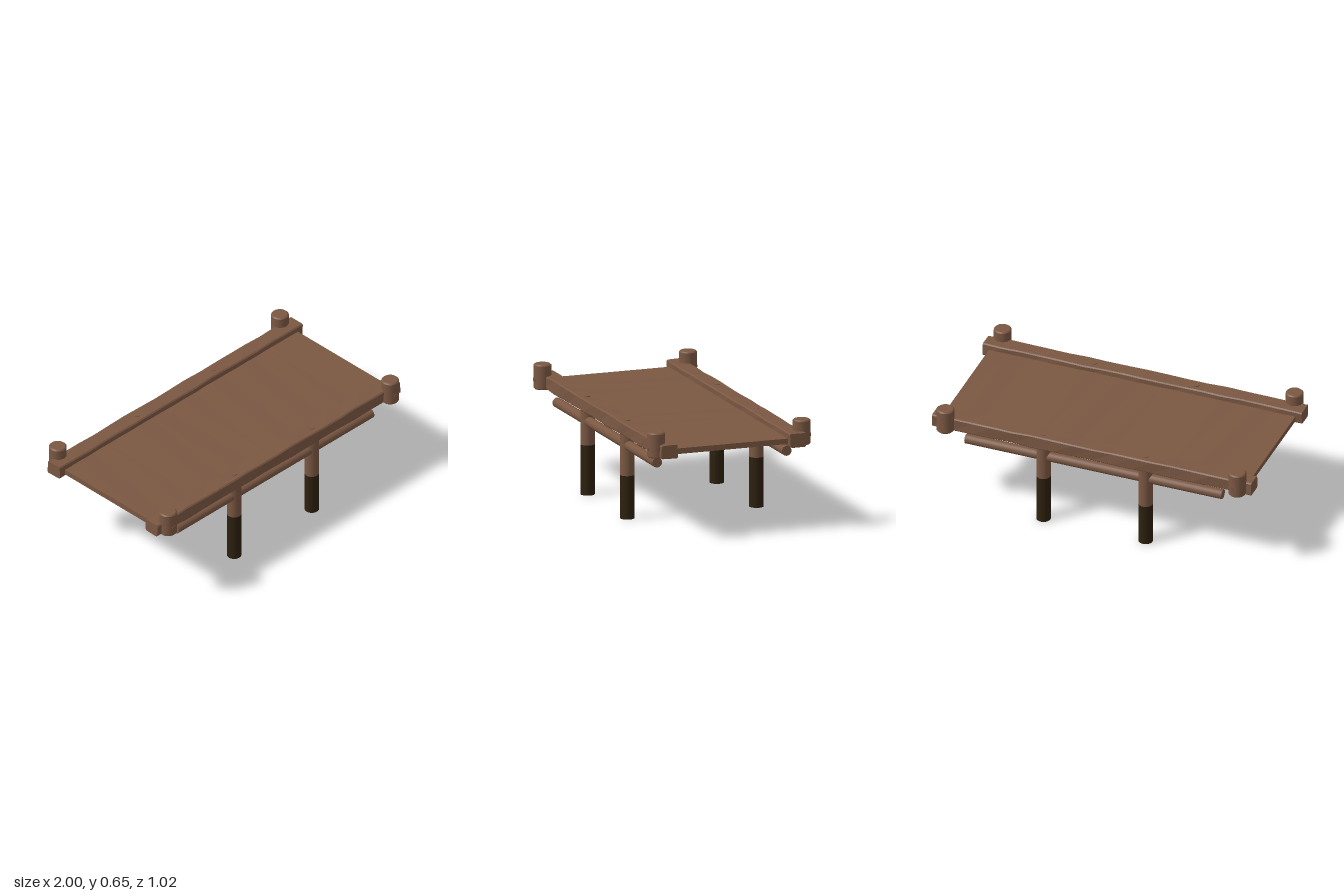
import * as THREE from 'three';

const wood = new THREE.MeshStandardMaterial({ color: 0x7a5742 });
wood.name = 'brown wood';
const tar = new THREE.MeshStandardMaterial({ color: 0x2d200e });
tar.name = 'dark tarred wood';

function add(group, name, geometry, material, x, y, z) {
  const mesh = new THREE.Mesh(geometry, material);
  mesh.name = name;
  mesh.position.set(x, y, z);
  group.add(mesh);
  return mesh;
}

// Upright pole between two heights
function pole(radius, bottom, top) {
  return new THREE.CylinderGeometry(radius, radius, top - bottom, 24)
    .translate(0, (top + bottom) / 2, 0);
}

// Long chamfered beam along x, with slightly uneven hewn edges
function beam(length, height, depth, chamfer, wobble, seed) {
  const a = depth / 2, b = height / 2, c = chamfer;
  const section = new THREE.Shape([
    [-a + c, -b], [a - c, -b], [a, -b + c], [a, b - c],
    [a - c, b], [-a + c, b], [-a, b - c], [-a, -b + c],
  ].map(([x, y]) => new THREE.Vector2(x, y)));
  const geometry = new THREE.ExtrudeGeometry(section, { depth: length, steps: 16, bevelEnabled: false });
  geometry.translate(0, 0, -length / 2).rotateY(Math.PI / 2);
  const p = geometry.attributes.position;
  for (let i = 0; i < p.count; i++) {
    const x = p.getX(i), y = p.getY(i), z = p.getZ(i);
    const k = Math.sin(x * 9 + seed) + Math.sin(x * 23 + seed * 2 + z * 30);
    p.setY(i, y - Math.sign(y) * wobble * (k + 2) * 0.25);
    p.setZ(i, z - Math.sign(z) * wobble * (Math.sin(x * 14 + y * 40 + seed) + 1) * 0.5);
  }
  geometry.computeVertexNormals();
  return geometry;
}

// Corner post with a narrow bevel at each end
function postGeometry() {
  const r = 0.052, c = 0.007, h = 0.15;
  const points = [[0, 0], [r - c, 0], [r - c, 0], [r, c], [r, c],
    [r, h - c], [r, h - c], [r - c, h], [r - c, h], [0, h]];
  return new THREE.LatheGeometry(points.map(([x, y]) => new THREE.Vector2(x, y)), 28);
}

export function createModel() {
  const model = new THREE.Group();
  model.name = 'woodenPlatform';

  // Deck board held between the rails
  add(model, 'deck', beam(1.92, 0.035, 0.76, 0.003, 0.003, 2), wood, 0, 0.5375, 0);

  for (const side of [1, -1]) {
    const end = side > 0 ? 'front' : 'back';

    // Side rail and the rod slung below it
    add(model, end + 'Rail', beam(2, 0.086, 0.105, 0.007, 0.005, side + 3), wood, 0, 0.547, side * 0.403);
    const rod = new THREE.CylinderGeometry(0.03, 0.03, 1.61, 20).rotateZ(Math.PI / 2);
    add(model, end + 'Rod', rod, wood, 0, 0.441, side * 0.405);

    for (const hand of [1, -1]) {
      const name = end + (hand > 0 ? 'Left' : 'Right');

      // Leg with a dark foot and a tenon showing through the rail
      const split = side * hand > 0 ? 0.26 : 0.3;
      const x = hand * 0.32, z = side * 0.404;
      add(model, name + 'LegFoot', pole(0.0425, 0, split), tar, x, 0, z);
      add(model, name + 'Leg', pole(0.0425, split, 0.53), wood, x, 0, z);
      add(model, name + 'Tenon', pole(0.018, 0.53, 0.591), wood, x, 0, z);

      // Corner post with a peg driven through from outside
      add(model, name + 'Post', postGeometry(), wood, hand * 0.915, 0.504, side * 0.455);
      const peg = new THREE.CylinderGeometry(0.016, 0.016, 0.04, 16).rotateX(Math.PI / 2);
      add(model, name + 'Peg', peg, wood, hand * 0.915, 0.56, side * 0.488);
    }
  }
  return model;
}
